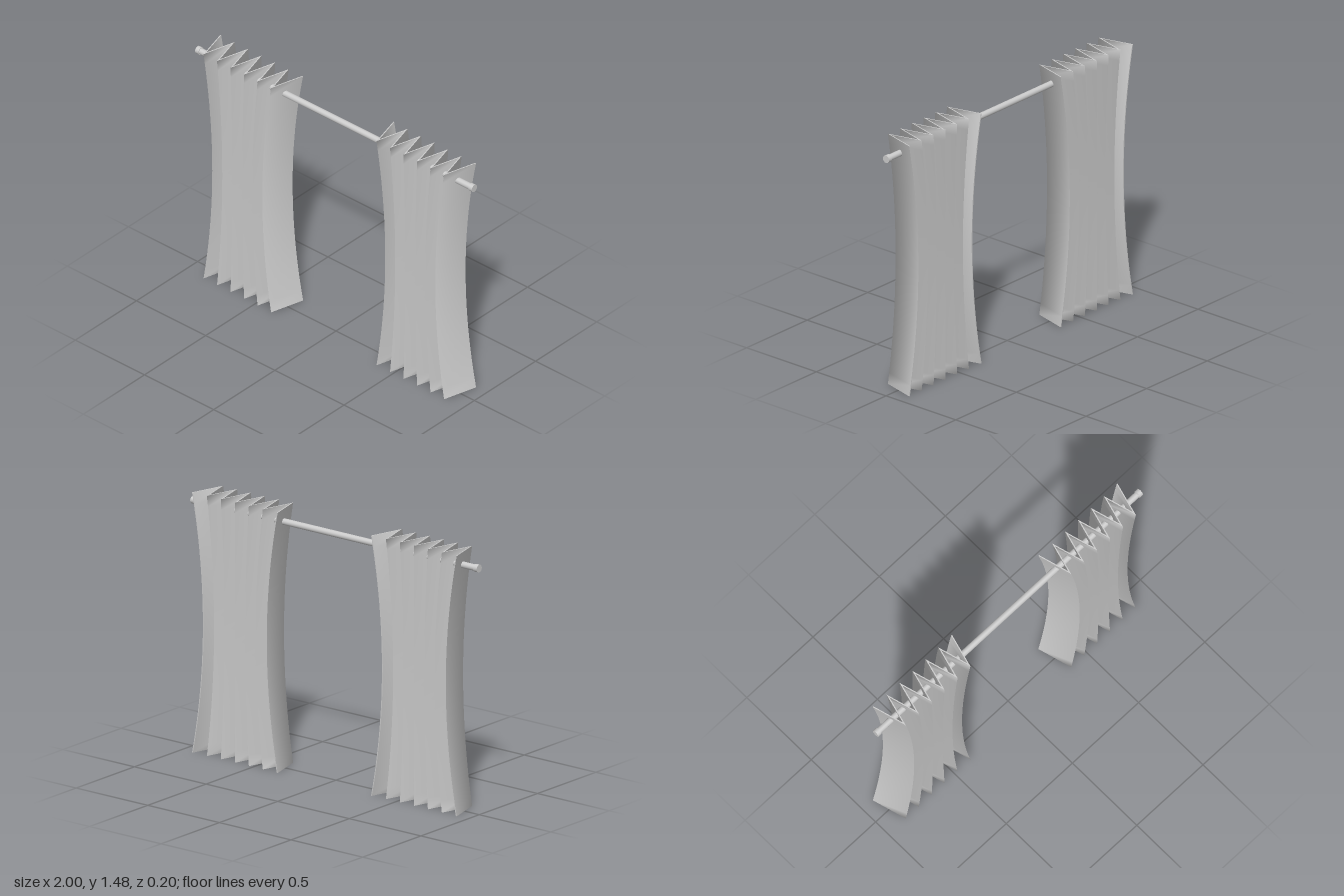
import * as THREE from 'three';
import { mergeGeometries } from 'three/addons/utils/BufferGeometryUtils.js';

const HEIGHT = 1.475, DEPTH = 0.1, PANELS = 12, ROWS = 24, CENTRE = 0.625, ROD_Y = 1.395;
const CLOTH_X = 0.006, CLOTH_Z = 0.024; // cloth thickness at the side hems and at the folds

// Half the curtain's width at height y: drawn in at the waist, wide at both hems
function halfWidth(y) {
  const t = (2 * y) / HEIGHT - 1;
  return 0.217 + 0.076 * t * t;
}

// Point of the cloth at a fold (0 to PANELS) and height; face is 0 on the back, 1 on the front
function clothPoint(fold, y, face) {
  const s = (2 * fold) / PANELS - 1;
  const isHem = Math.abs(s) > 0.999;
  const x = s * halfWidth(y) + (isHem ? Math.sign(s) * CLOTH_X * face : 0);
  if (isHem) return [x, y, -DEPTH];
  return [x, y, fold % 2 ? DEPTH - (1 - face) * CLOTH_Z : -DEPTH + face * CLOTH_Z];
}

// Grid bent by a rule of (u, v), with normals smoothed across the folds
function patch(uSteps, vSteps, rule) {
  const geometry = new THREE.PlaneGeometry(1, 1, uSteps, vSteps);
  const p = geometry.attributes.position;
  for (let k = 0; k < p.count; k++) p.setXYZ(k, ...rule(p.getX(k) + 0.5, p.getY(k) + 0.5));
  geometry.computeVertexNormals();
  return geometry;
}

// One pleated curtain: front and back faces closed by four narrow hems
function pleatedCurtain() {
  const fold = (u) => Math.round(u * PANELS);
  return mergeGeometries([
    patch(PANELS, ROWS, (u, v) => clothPoint(fold(u), v * HEIGHT, 1)),
    patch(PANELS, ROWS, (u, v) => clothPoint(fold(1 - u), v * HEIGHT, 0)),
    patch(PANELS, 1, (u, v) => clothPoint(fold(u), HEIGHT, 1 - v)),
    patch(PANELS, 1, (u, v) => clothPoint(fold(u), 0, v)),
    patch(1, ROWS, (u, v) => clothPoint(PANELS, v * HEIGHT, 1 - u)),
    patch(1, ROWS, (u, v) => clothPoint(0, v * HEIGHT, u)),
  ]);
}

export function createModel() {
  const group = new THREE.Group();
  const material = new THREE.MeshStandardMaterial({ color: 0xcccccc });

  const add = (name, geometry, x, y) => {
    const mesh = new THREE.Mesh(geometry, material);
    mesh.name = name;
    mesh.position.set(x, y, 0);
    group.add(mesh);
  };

  // Rod running through the pleats
  add('rod', new THREE.CylinderGeometry(0.018, 0.018, 1.96, 32).rotateZ(Math.PI / 2), 0, ROD_Y);

  // A curtain and a rod end cap on each side
  const curtain = pleatedCurtain();
  const cap = new THREE.CylinderGeometry(0.022, 0.022, 0.025, 32).rotateZ(Math.PI / 2);
  for (const [side, s] of [['left', 1], ['right', -1]]) {
    add(side + 'Curtain', curtain, s * CENTRE, 0);
    add(side + 'EndCap', cap, s * 0.9875, ROD_Y);
  }
  return group;
}
